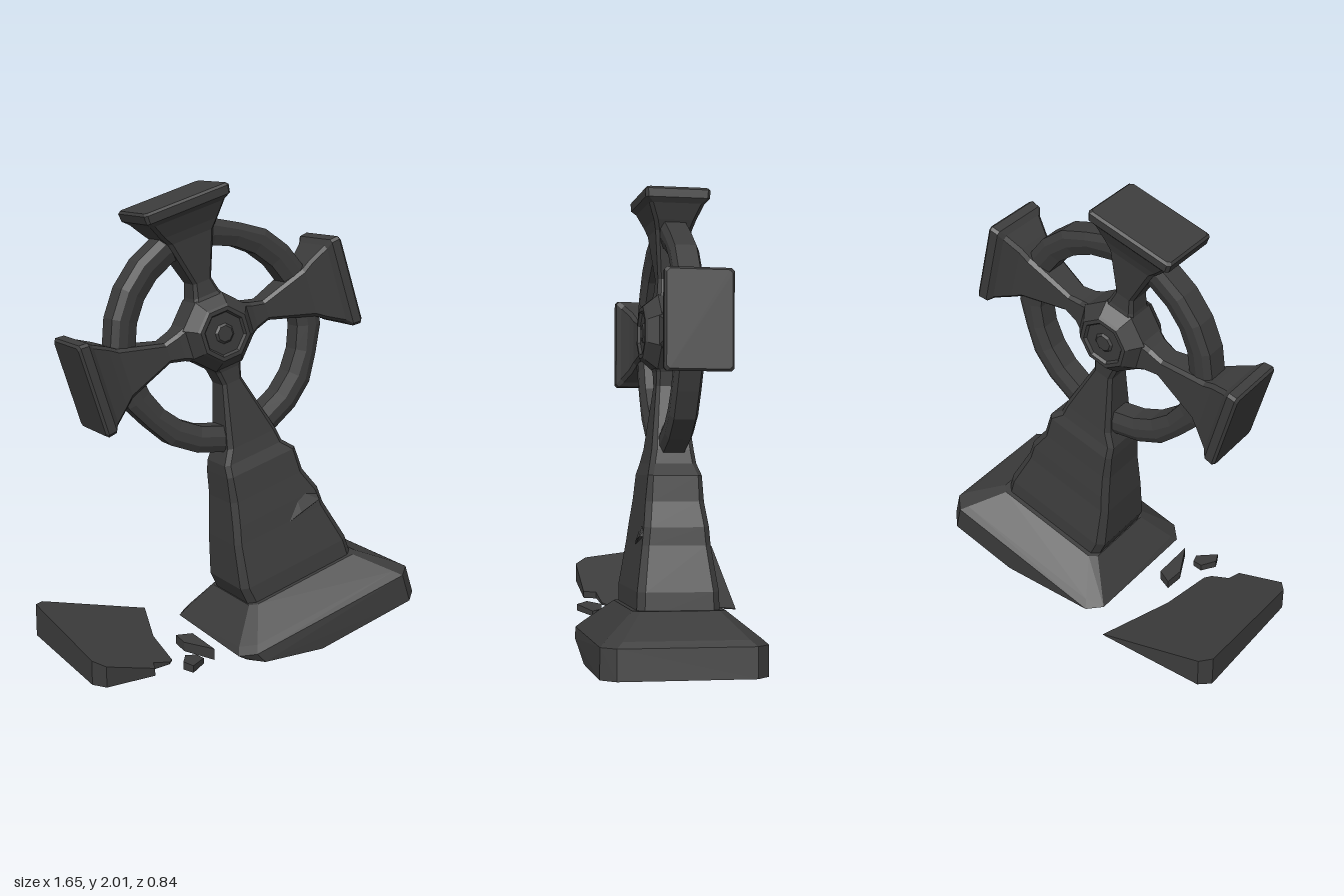
import * as THREE from 'three';
import { ConvexGeometry } from 'three/addons/geometries/ConvexGeometry.js';

const stone = new THREE.MeshStandardMaterial({ color: 0x3c3c3c });
stone.name = 'dark stone';

function part(name, geometry, parent) {
  const g = geometry.index ? geometry.toNonIndexed() : geometry;
  g.computeVertexNormals(); // faceted
  const mesh = new THREE.Mesh(g, stone);
  mesh.name = name;
  parent.add(mesh);
  return mesh;
}

// Rectangle with cut corners, counter-clockwise from above
const section = (l, r, d, c) => [
  [r, d - c], [r, -d + c], [r - c, -d], [l + c, -d],
  [l, -d + c], [l, d - c], [l + c, d], [r - c, d],
];

// Stations from low to high: [y, left x, right x, half depth, corner cut]
function loft(stations) {
  const rings = stations.map(([y, l, r, d, c]) =>
    section(l, r, d, c).map(([x, z]) => new THREE.Vector3(x, y, z)));
  const pts = [];
  for (let i = 0; i < rings.length - 1; i++) {
    for (let j = 0; j < 8; j++) {
      const k = (j + 1) % 8, a = rings[i], b = rings[i + 1];
      pts.push(a[j], a[k], b[k], a[j], b[k], b[j]);
    }
  }
  const low = rings[0], top = rings[rings.length - 1];
  for (let j = 1; j < 7; j++) pts.push(low[0], low[j + 1], low[j], top[0], top[j], top[j + 1]);
  return new THREE.BufferGeometry().setFromPoints(pts);
}

// Flat fragment lying on the ground: outline in x, z and a height rule
function fragment(name, outline, height, parent) {
  const shape = new THREE.Shape(outline.map(([x, z]) => new THREE.Vector2(x, -z)));
  const g = new THREE.ExtrudeGeometry(shape, { depth: 1, bevelEnabled: false });
  g.rotateX(-Math.PI / 2);
  const p = g.attributes.position;
  for (let i = 0; i < p.count; i++) {
    if (p.getY(i) > 0.5) p.setY(i, Math.max(0.004, height(p.getX(i), p.getZ(i))));
  }
  part(name, g, parent);
}

export function createModel() {
  const root = new THREE.Group();
  root.name = 'leaningWheelCross';

  // Leaning frame with its origin at the hub
  const cross = new THREE.Group();
  cross.name = 'cross';
  cross.position.set(-0.06, 1.37, -0.03);
  cross.rotation.set(-0.06, 0.175, 0.285, 'YZX');
  cross.updateMatrix();
  root.add(cross);

  // Hub with recessed centre
  const hubHalf = [[0.172, 0.06], [0.128, 0.112], [0.118, 0.122], [0.1, 0.122], [0.092, 0.11], [0.045, 0.11], [0.035, 0.118], [0, 0.118]];
  const hubProfile = [...hubHalf.map(([r, y]) => [r, -y]).reverse(), ...hubHalf];
  const hub = new THREE.LatheGeometry(hubProfile.map(([r, y]) => new THREE.Vector2(r, y)), 8);
  hub.rotateY(Math.PI / 8).rotateX(Math.PI / 2);
  part('hub', hub, cross);

  // Wheel with bevelled rim and a few worn chips
  const rim = [[0.39, -0.042], [0.435, -0.06], [0.475, -0.06], [0.505, -0.045], [0.505, 0.045], [0.475, 0.06], [0.435, 0.06], [0.39, 0.042], [0.39, -0.042]];
  const ring = new THREE.LatheGeometry(rim.map(([r, y]) => new THREE.Vector2(r, y)), 24);
  ring.rotateX(Math.PI / 2);
  const rp = ring.attributes.position;
  for (let i = 0; i < rp.count; i++) {
    const a = Math.round(Math.atan2(rp.getY(i), rp.getX(i)) / (Math.PI / 12));
    const r = Math.hypot(rp.getX(i), rp.getY(i));
    const k = r > 0.46 && (a === 4 || a === -10 || a === -2) ? 0.975 : 1;
    rp.setXY(i, rp.getX(i) * k, rp.getY(i) * k - 0.025);
  }
  part('wheel', ring, cross);

  // Three flared arms
  const armProfile = [
    [0.12, 0.085, 0.075, 0.015], [0.17, 0.062, 0.06, 0.015], [0.23, 0.045, 0.055, 0.013],
    [0.43, 0.11, 0.078, 0.015], [0.47, 0.14, 0.09, 0.015], [0.535, 0.18, 0.118, 0.015],
    [0.555, 0.2, 0.137, 0.012], [0.59, 0.203, 0.14, 0.012], [0.6, 0.194, 0.131, 0.012],
  ];
  const armStations = armProfile.map(([y, w, d, c]) => [y, -w, w, d, c]);
  [['topArm', 0, 1], ['leftArm', -Math.PI / 2, 1.08], ['rightArm', Math.PI / 2, 1.08]].forEach(([name, turn, stretch]) => {
    const arm = part(name, loft(armStations), cross);
    arm.rotation.z = turn;
    arm.scale.y = stretch;
  });

  // Worn tapering shaft
  part('shaft', loft([
    [-1.2, -0.275, 0.27, 0.175, 0.03], [-1.09, -0.292, 0.268, 0.172, 0.03],
    [-0.9, -0.25, 0.22, 0.145, 0.025], [-0.825, -0.228, 0.218, 0.138, 0.025],
    [-0.72, -0.2, 0.177, 0.125, 0.025], [-0.61, -0.178, 0.174, 0.115, 0.02],
    [-0.56, -0.166, 0.13, 0.1, 0.02], [-0.5, -0.126, 0.122, 0.09, 0.02],
    [-0.23, -0.05, 0.046, 0.06, 0.014], [-0.17, -0.062, 0.06, 0.062, 0.015], [-0.12, -0.085, 0.085, 0.075, 0.015],
  ]), cross);

  // Cracked ledge on the shaft front
  part('crackedLedge', new ConvexGeometry([
    [-0.01, -0.915, 0.14], [0.2, -0.81, 0.11], [0.19, -0.865, 0.158],
    [0.09, -0.885, 0.155], [0.1, -0.78, 0.12], [0.2, -0.86, 0.1],
  ].map((p) => new THREE.Vector3(...p))), cross);

  // Tilted plinth, sunk into the ground and cut level at y = 0
  const toWorld = ([x, z], y) => new THREE.Vector3(x, y, z).applyMatrix4(cross.matrix);
  const plinth = [];
  const addLevel = (y, w, d, c) => section(-w, w, d, c).forEach((p) => {
    const v = toWorld(p, y);
    v.y = Math.max(0, v.y);
    plinth.push(v);
  });
  addLevel(-1.165, 0.285, 0.195, 0.03);
  addLevel(-1.27, 0.425, 0.32, 0.06);
  addLevel(-1.295, 0.45, 0.347, 0.06);
  addLevel(-1.425, 0.45, 0.347, 0.06);
  for (const z of [-0.347, 0.347]) { // where the underside meets the ground
    const a = toWorld([-0.39, z], -1.425), b = toWorld([0.39, z], -1.425);
    plinth.push(a.clone().lerp(b, a.y / (a.y - b.y)));
  }
  part('plinth', new ConvexGeometry(plinth), root);

  // Broken-off slab and shards
  fragment('brokenSlab', [
    [-0.83, -0.21], [-0.79, -0.26], [-0.29, -0.35], [-0.35, 0], [-0.34, 0.25], [-0.36, 0.28],
    [-0.44, 0.31], [-0.45, 0.37], [-0.67, 0.415], [-0.72, 0.37],
  ], (x, z) => 0.27 * (-0.3 - x) - 0.02 * z, root);
  fragment('longShard', [[-0.27, 0.08], [-0.2, 0.1], [-0.165, 0.3], [-0.26, 0.17]], (x) => 0.05 + 0.1 * (x + 0.17), root);
  fragment('smallShard', [[-0.29, 0.28], [-0.24, 0.28], [-0.22, 0.32], [-0.29, 0.395], [-0.32, 0.35]], (x) => 0.03 - 0.1 * (x + 0.27), root);

  return root;
}
